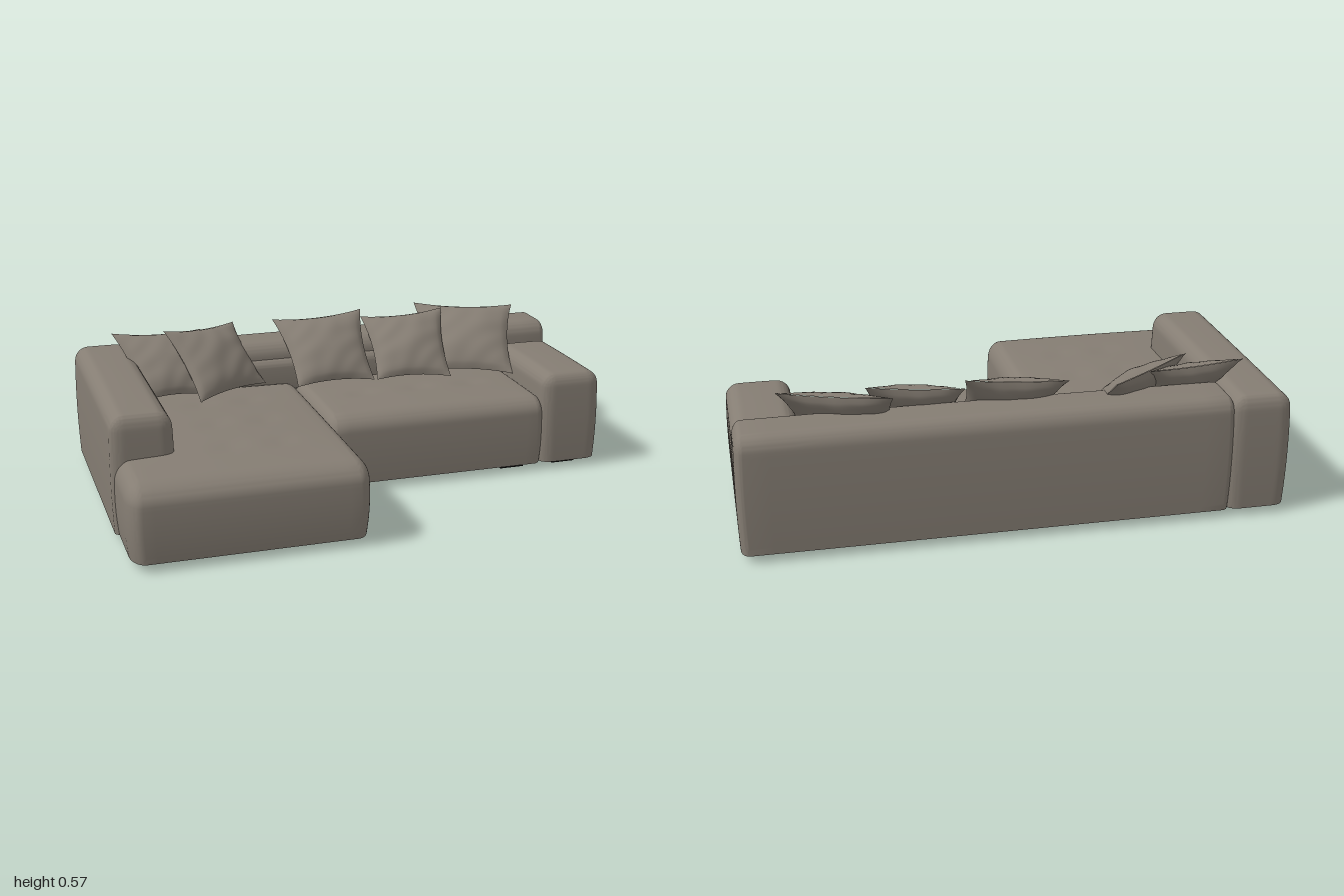
import * as THREE from 'three';
import { toCreasedNormals } from 'three/addons/utils/BufferGeometryUtils.js';

const fabric = new THREE.MeshStandardMaterial({ color: 0x857d73 });
fabric.name = 'taupe fabric';
const black = new THREE.MeshStandardMaterial({ color: 0x0c0c0c });
black.name = 'black feet';

const K = 6; // segments per rounded corner
const M = 20; // segments between corners

// Spread a uniform 0..1 grid so the corners get their own segments.
function spread(t, lo, hi, r) {
  const i = t * (2 * K + M);
  if (i <= K) return lo + (r * i) / K;
  if (i >= K + M) return hi - (r * (2 * K + M - i)) / K;
  return lo + r + ((hi - lo - 2 * r) * (i - K)) / M;
}

// Upholstered block: flat base, soft top edges, slightly bulging sides, optional tufts.
function block(name, min, max, { r = [0.035, 0.06, 0.035], crown = 0.005, bulge = 0.006, tufts = [] } = {}) {
  const n = 2 * K + M;
  const geo = new THREE.BoxGeometry(1, 1, 1, n, n, n);
  const pos = geo.attributes.position;
  for (let i = 0; i < pos.count; i++) {
    const t = [pos.getX(i) + 0.5, pos.getY(i) + 0.5, pos.getZ(i) + 0.5];
    const p = t.map((v, a) => spread(v, min[a] + (a === 1 ? 0 : bulge), max[a] - (a === 1 ? crown : bulge), r[a]));
    // Pull the square corners onto an ellipsoid.
    const q = p.map((v, a) => THREE.MathUtils.clamp(v, a === 1 ? -1 : min[a] + bulge + r[a], max[a] - (a === 1 ? crown : bulge) - r[a]));
    const d = p.map((v, a) => (v - q[a]) / r[a]);
    const len = Math.hypot(...d);
    if (len > 1e-6) {
      const s = Math.max(...d.map(Math.abs)) / len;
      for (let a = 0; a < 3; a++) p[a] = q[a] + d[a] * s * r[a];
    }
    // Puff the sides and the top.
    const u = p.map((v, a) => (2 * (v - min[a])) / (max[a] - min[a]) - 1);
    const f = u.map((v) => Math.max(0, 1 - v * v));
    const up = THREE.MathUtils.smoothstep(u[1], 0, 1);
    const out = [p[0] + bulge * u[0] * f[1], p[1] + crown * f[0] * f[2] * up, p[2] + bulge * u[2] * f[1]];
    for (const [x, z] of tufts) {
      out[1] -= 0.008 * up * Math.exp(-((p[0] - x) ** 2 + (p[2] - z) ** 2) / 0.0016);
    }
    pos.setXYZ(i, ...out);
  }
  const mesh = new THREE.Mesh(toCreasedNormals(geo, 0.6), fabric);
  mesh.name = name;
  return mesh;
}

// Throw pillow stretched between four corners: top left, top right, bottom left, bottom right.
function pillow(name, corners, seed) {
  const [tl, tr, bl, br] = corners.map((c) => new THREE.Vector3(...c));
  const across = tr.clone().add(br).sub(tl).sub(bl);
  const upward = tl.clone().add(tr).sub(bl).sub(br);
  const normal = across.clone().cross(upward).normalize();
  const n = 24;
  const points = [];
  const index = [];
  for (const side of [1, -1]) {
    const base = points.length;
    for (let j = 0; j <= n; j++) {
      for (let i = 0; i <= n; i++) {
        const a = (2 * i) / n - 1;
        const b = (2 * j) / n - 1;
        // Edges curve inwards so the corners stay pointed.
        const u = (a * (1 - 0.1 * (1 - b * b)) + 1) / 2;
        const v = (b * (1 - 0.1 * (1 - a * a)) + 1) / 2;
        const p = bl.clone().lerp(br, u).lerp(tl.clone().lerp(tr, u), v);
        const fill = Math.pow((1 - a * a) * (1 - b * b), 0.6);
        const fold = 0.004 * Math.sin(9 * a * b + seed) * Math.sin(5 * (a - b) + seed * 2);
        p.addScaledVector(normal, side * (0.055 + fold) * fill + (side > 0 ? 0.001 : 0));
        points.push(p);
        if (i < n && j < n) {
          const k = base + j * (n + 1) + i;
          const quad = [k, k + 1, k + n + 2, k, k + n + 2, k + n + 1];
          index.push(...(side > 0 ? quad : quad.reverse()));
        }
      }
    }
  }
  const geo = new THREE.BufferGeometry().setFromPoints(points);
  geo.setIndex(index);
  geo.computeVertexNormals();
  const mesh = new THREE.Mesh(geo, fabric);
  mesh.name = name;
  return mesh;
}

export function createModel() {
  const sofa = new THREE.Group();
  sofa.name = 'cornerSofa';

  // Frame: back and two arms
  sofa.add(
    block('back', [-0.79, 0.03, -0.63], [1, 0.475, -0.405], { r: [0.03, 0.055, 0.05] }),
    block('tallArm', [-1, 0.03, -0.63], [-0.77, 0.475, 0.348], { r: [0.05, 0.055, 0.03] }),
    block('lowArm', [0.75, 0.03, -0.41], [1, 0.4, 0.118], { r: [0.05, 0.05, 0.035] }),
    block('backBolster', [-0.78, 0.28, -0.48], [0.77, 0.41, -0.385], { r: [0.02, 0.03, 0.03], bulge: 0.004 })
  );

  // Seats with rows of shallow tufts
  const chaiseTufts = [];
  for (const x of [-0.57, -0.38]) for (const z of [-0.17, 0.08, 0.33]) chaiseTufts.push([x, z]);
  const seatTufts = [0.08, 0.31, 0.54].map((x) => [x, -0.15]);
  sofa.add(
    block('chaiseSeat', [-0.99, 0.03, -0.45], [-0.12, 0.327, 0.63], { r: [0.05, 0.07, 0.09], crown: 0.018, bulge: 0.01, tufts: chaiseTufts }),
    block('seat', [-0.135, 0.03, -0.45], [0.77, 0.318, 0.115], { r: [0.04, 0.06, 0.07], crown: 0.014, tufts: seatTufts })
  );

  // Throw pillows leaning on the back
  const pillows = [
    [[-0.865, 0.555, -0.455], [-0.505, 0.54, -0.475], [-0.78, 0.33, -0.25], [-0.52, 0.33, -0.26]],
    [[-0.67, 0.567, -0.385], [-0.35, 0.535, -0.565], [-0.57, 0.325, -0.18], [-0.265, 0.325, -0.355]],
    [[-0.195, 0.545, -0.51], [0.18, 0.567, -0.49], [-0.155, 0.325, -0.26], [0.17, 0.325, -0.265]],
    [[0.178, 0.535, -0.485], [0.528, 0.555, -0.455], [0.18, 0.325, -0.26], [0.485, 0.325, -0.215]],
    [[0.445, 0.555, -0.57], [0.838, 0.55, -0.43], [0.4, 0.325, -0.32], [0.75, 0.32, -0.19]],
  ];
  pillows.forEach((corners, i) => sofa.add(pillow('pillow' + (i + 1), corners, i * 1.7)));

  // Feet
  const feet = [[-0.88, 0.485], [-0.24, 0.485], [-0.03, 0], [0.655, 0], [0.88, 0], [0.88, -0.52], [-0.88, -0.52]];
  for (const [x, z] of feet) {
    const foot = new THREE.Mesh(new THREE.BoxGeometry(0.1, 0.032, 0.095), black);
    foot.name = 'foot';
    foot.position.set(x, 0.016, z);
    sofa.add(foot);
  }
  return sofa;
}
